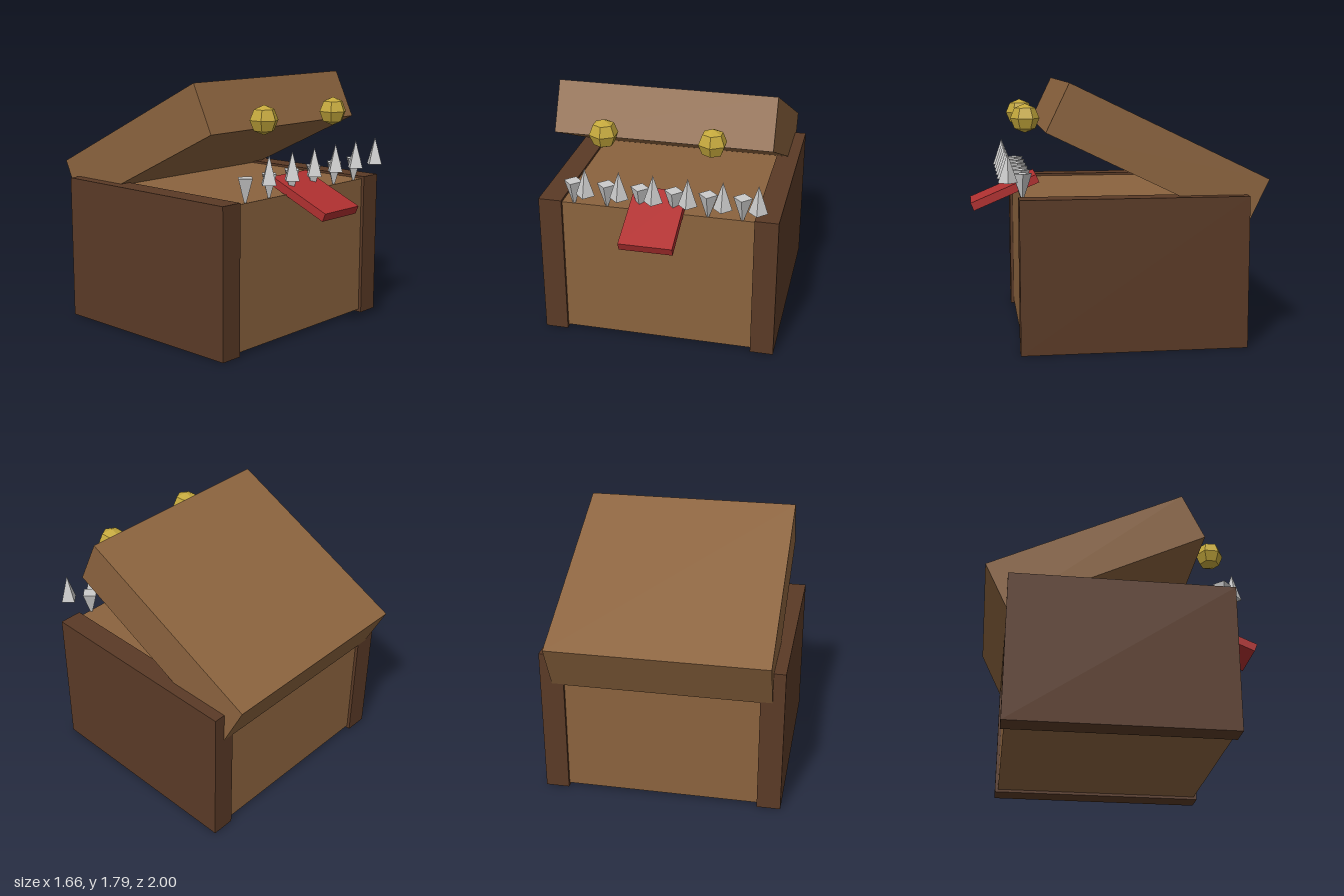
import * as THREE from 'three';

const material = (color) => new THREE.MeshStandardMaterial({ color, flatShading: true });

export function createModel() {
  const group = new THREE.Group();
  group.name = 'chestCreature';

  const wood = material(0x8b633e);
  const darkWood = material(0x5a3a26);
  const red = material(0xb03030);
  const gold = material(0xc4a83c);
  const ivory = material(0xcccccc);

  const add = (name, geometry, mat, x, y, z, rx = 0, ry = 0) => {
    const mesh = new THREE.Mesh(geometry, mat);
    mesh.name = name;
    mesh.position.set(x, y, z);
    mesh.rotation.set(rx, ry, 0);
    group.add(mesh);
    return mesh;
  };

  // Chest body and the thick side panels that stand slightly proud of it
  add('body', new THREE.BoxGeometry(1.5, 1, 1.49), wood, 0, 0.52, -0.078);
  const panel = new THREE.BoxGeometry(0.163, 1.037, 1.535);
  add('leftPanel', panel, darkWood, 0.75, 0.5185, -0.078);
  add('rightPanel', panel, darkWood, -0.75, 0.5185, -0.078);

  // Lid, tipped open toward the back
  add('lid', new THREE.BoxGeometry(1.5, 0.36, 1.5), wood, 0, 1.3025, -0.245, -0.449);

  // Tongue hanging over the front rim
  add('tongue', new THREE.BoxGeometry(0.365, 0.06, 0.503), red, 0, 1.004, 0.757, 0.4);

  // Faceted eyes
  const eye = new THREE.SphereGeometry(0.1, 6, 4);
  add('leftEye', eye, gold, 0.367, 1.54, 0.622, 0, Math.PI / 2);
  add('rightEye', eye, gold, -0.367, 1.54, 0.622, 0, Math.PI / 2);

  // Two rows of four-sided teeth: one pointing up, one pointing down
  const tooth = new THREE.ConeGeometry(0.065, 0.195, 4);
  for (let i = 0; i < 6; i++) {
    add('lowerTooth', tooth, ivory, -0.468 + i * 0.2335, 1.235, 0.757);
    add('upperTooth', tooth, ivory, -0.585 + i * 0.2335, 1.0875, 0.655, Math.PI);
  }

  return group;
}
